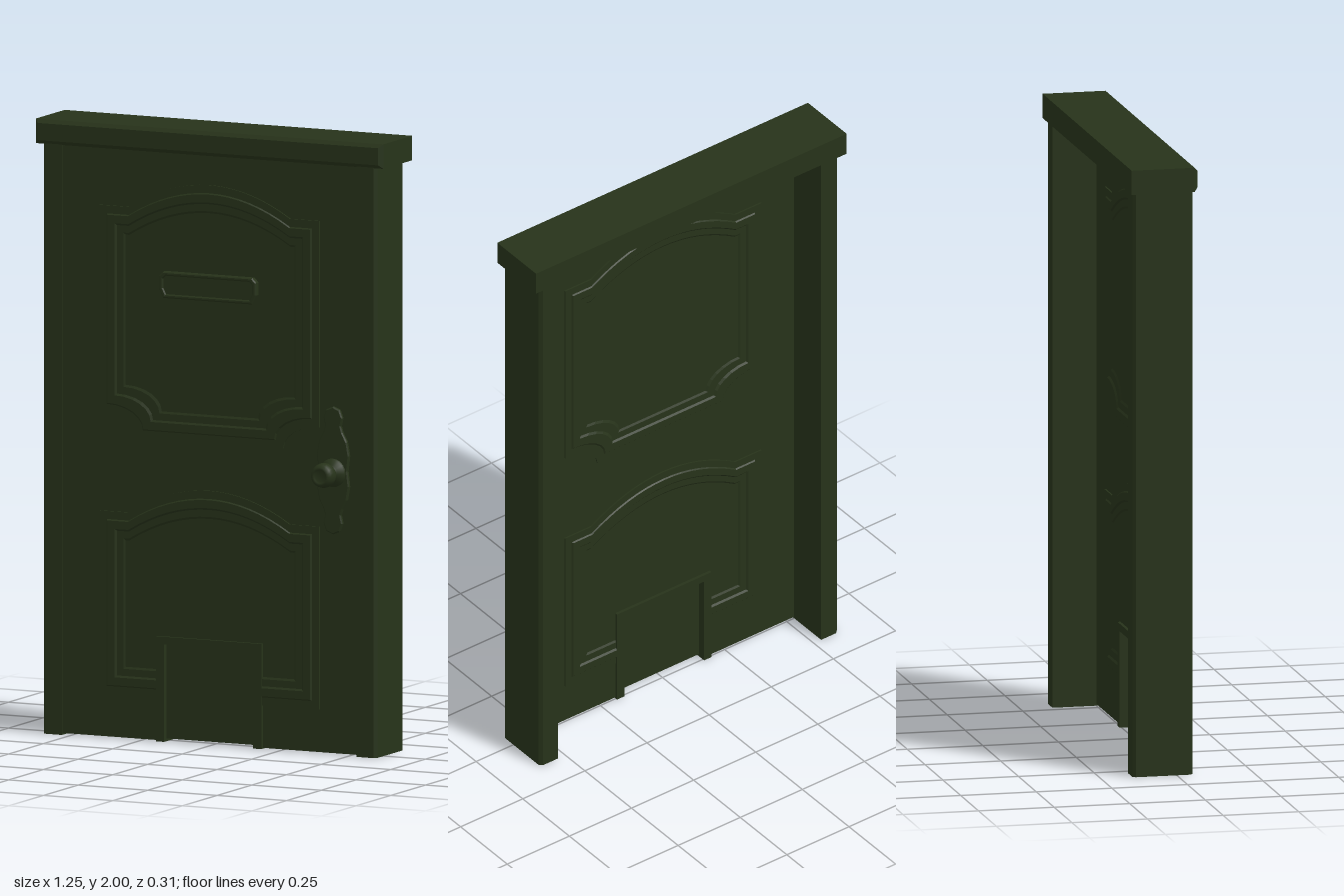
import * as THREE from 'three';

const green = { color: 0x27331a };
const flat = new THREE.MeshStandardMaterial({ ...green, flatShading: true });
const smooth = new THREE.MeshStandardMaterial(green);

function add(parent, name, geometry, x = 0, y = 0, z = 0, material = flat) {
  const mesh = new THREE.Mesh(geometry, material);
  mesh.name = name;
  mesh.position.set(x, y, z);
  parent.add(mesh);
  return mesh;
}

const shapeOf = (pts) => new THREE.Shape(pts.map(([x, y]) => new THREE.Vector2(x, y)));
const extrude = (shape, depth, bevel = 0) => new THREE.ExtrudeGeometry(shape, {
  depth: depth - bevel, bevelEnabled: bevel > 0, bevelSize: bevel, bevelOffset: -bevel,
  bevelThickness: bevel, bevelSegments: 1, curveSegments: 8,
});

// Right half of a panel outline, inset by d, from bottom to the top of the arch
function halfOutline(p, d) {
  const pts = [];
  if (p.notched) {
    for (let i = 0; i <= 6; i++) {
      const t = (Math.PI / 2) * (1 - i / 6);
      pts.push([0.395 - d - 0.13 * Math.sin(t), p.bottom + d + 0.078 * Math.cos(t)]);
    }
  } else {
    pts.push([0.19, p.bottom + d], [0.395 - d, p.bottom + d]);
  }
  pts.push([0.395 - d, p.shoulder - d]);
  for (let i = 0; i <= 8; i++) {
    const x = 1 - i / 8;
    pts.push([0.29 * x, p.shoulder - d + 0.09 * (1 - x * x)]);
  }
  return pts;
}

function outline(p, d) {
  const right = halfOutline(p, d);
  const left = right.slice(0, -1).reverse().map(([x, y]) => [-x, y]);
  return [...right, ...left];
}

// Stepped moulding: [inset, height] profile carried around the outline
const profile = [[0, -0.002], [0, 0.005], [0.026, 0.005], [0.03, 0.009], [0.056, 0.009],
  [0.062, 0.004], [0.085, 0.004], [0.095, -0.002]];

function moulding(p) {
  const pos = [], index = [];
  let n = 0;
  for (const [d, z] of profile) {
    const ring = outline(p, d);
    n = ring.length;
    for (const [x, y] of ring) pos.push(x, y, z);
  }
  const spans = p.notched ? n : n - 1;
  for (let r = 0; r < profile.length - 1; r++) {
    for (let i = 0; i < spans; i++) {
      const a = r * n + i, b = r * n + ((i + 1) % n);
      index.push(a, b, b + n, a, b + n, a + n);
    }
  }
  const g = new THREE.BufferGeometry();
  g.setAttribute('position', new THREE.Float32BufferAttribute(pos, 3));
  g.setIndex(index);
  g.computeVertexNormals();
  return g;
}

export function createModel() {
  const door = new THREE.Group();
  door.name = 'door';

  // Leaf with an opening for the pet flap
  const leaf = shapeOf([[-0.535, 0.006], [-0.16, 0.006], [-0.16, 0.32], [0.16, 0.32],
    [0.16, 0.006], [0.535, 0.006], [0.535, 1.93], [-0.535, 1.93]]);
  add(door, 'doorLeaf', extrude(leaf, 0.05));

  // Panel mouldings on both faces
  const panels = {
    upperPanel: { bottom: 0.985, shoulder: 1.735, notched: true },
    lowerPanel: { bottom: 0.145, shoulder: 0.74, notched: false },
  };
  for (const [name, p] of Object.entries(panels)) {
    const g = moulding(p);
    add(door, name + 'Front', g, 0, 0, 0.05);
    add(door, name + 'Back', g).rotation.y = Math.PI;
  }

  // Pet flap and its surround
  const surround = shapeOf([[-0.19, 0.003], [-0.16, 0.003], [-0.16, 0.32], [0.16, 0.32],
    [0.16, 0.003], [0.19, 0.003], [0.19, 0.345], [-0.19, 0.345]]);
  add(door, 'flapSurround', extrude(surround, 0.07), 0, 0, -0.01);
  add(door, 'petFlap', new THREE.BoxGeometry(0.32, 0.31, 0.025), 0, 0.167, 0.03);

  // Jambs: chamfered plan, raised to full height
  const jamb = shapeOf([[0.53, 0.145], [0.53, -0.055], [0.59, -0.055], [0.6, -0.045],
    [0.6, 0.135], [0.59, 0.145]]);
  const jambGeo = extrude(jamb, 1.93).rotateX(-Math.PI / 2);
  add(door, 'leftJamb', jambGeo);
  const mirrored = shapeOf(jamb.getPoints().map((v) => [-v.x, v.y]));
  add(door, 'rightJamb', extrude(mirrored, 1.93).rotateX(-Math.PI / 2));

  // Lintel with a chamfered front
  const lintel = new THREE.BoxGeometry(1.25, 0.08, 0.22, 1, 1, 2);
  const v = lintel.attributes.position;
  for (let i = 0; i < v.count; i++) {
    if (Math.abs(v.getZ(i)) < 0.01) v.setZ(i, 0.098);
    else if (v.getZ(i) > 0) {
      v.setX(i, v.getX(i) * 0.98);
      v.setY(i, v.getY(i) * 0.7);
    }
  }
  add(door, 'lintel', lintel, 0, 1.96, -0.045);

  // Letter slot: surround and inner plate
  const slot = (w, h, c) => shapeOf([[-w + c, -h], [w - c, -h], [w, -h + 2 * c], [w, h - c],
    [w - c, h], [-w + c, h], [-w, h - c], [-w, -h + 2 * c]]);
  const slotFrame = slot(0.175, 0.043, 0.015);
  slotFrame.holes.push(slot(0.16, 0.03, 0.01));
  add(door, 'letterSlotFrame', extrude(slotFrame, 0.02, 0.004), 0, 1.492, 0.05);
  add(door, 'letterSlotFlap', extrude(slot(0.162, 0.032, 0.01), 0.015), 0, 1.492, 0.05);

  // Handle plate: rounded tips and a wide waist
  const edge = [[0, 0.208], [0.024, 0.198], [0.034, 0.172], [0.028, 0.145], [0.034, 0.125],
    [0.05, 0.095], [0.058, 0.05], [0.052, 0]];
  const half = [...edge, ...edge.slice(0, -1).reverse().map(([x, y]) => [x, -y])];
  const plate = [...half, ...half.slice(1, -1).reverse().map(([x, y]) => [-x, y])].reverse();
  add(door, 'handlePlate', extrude(shapeOf(plate), 0.012, 0.004), 0.447, 0.927, 0.05);

  // Knob turned about the z axis
  const turned = [[0.047, 0], [0.045, 0.01], [0.028, 0.02], [0.019, 0.03], [0.021, 0.035],
    [0.034, 0.044], [0.04, 0.058], [0.04, 0.072], [0.036, 0.086], [0.029, 0.094],
    [0.022, 0.094], [0.018, 0.089], [0, 0.089]].map(([r, h]) => new THREE.Vector2(r, h));
  const knob = new THREE.LatheGeometry(turned, 20).rotateX(Math.PI / 2);
  add(door, 'knob', knob, 0.447, 0.92, 0.06, smooth);

  return door;
}
